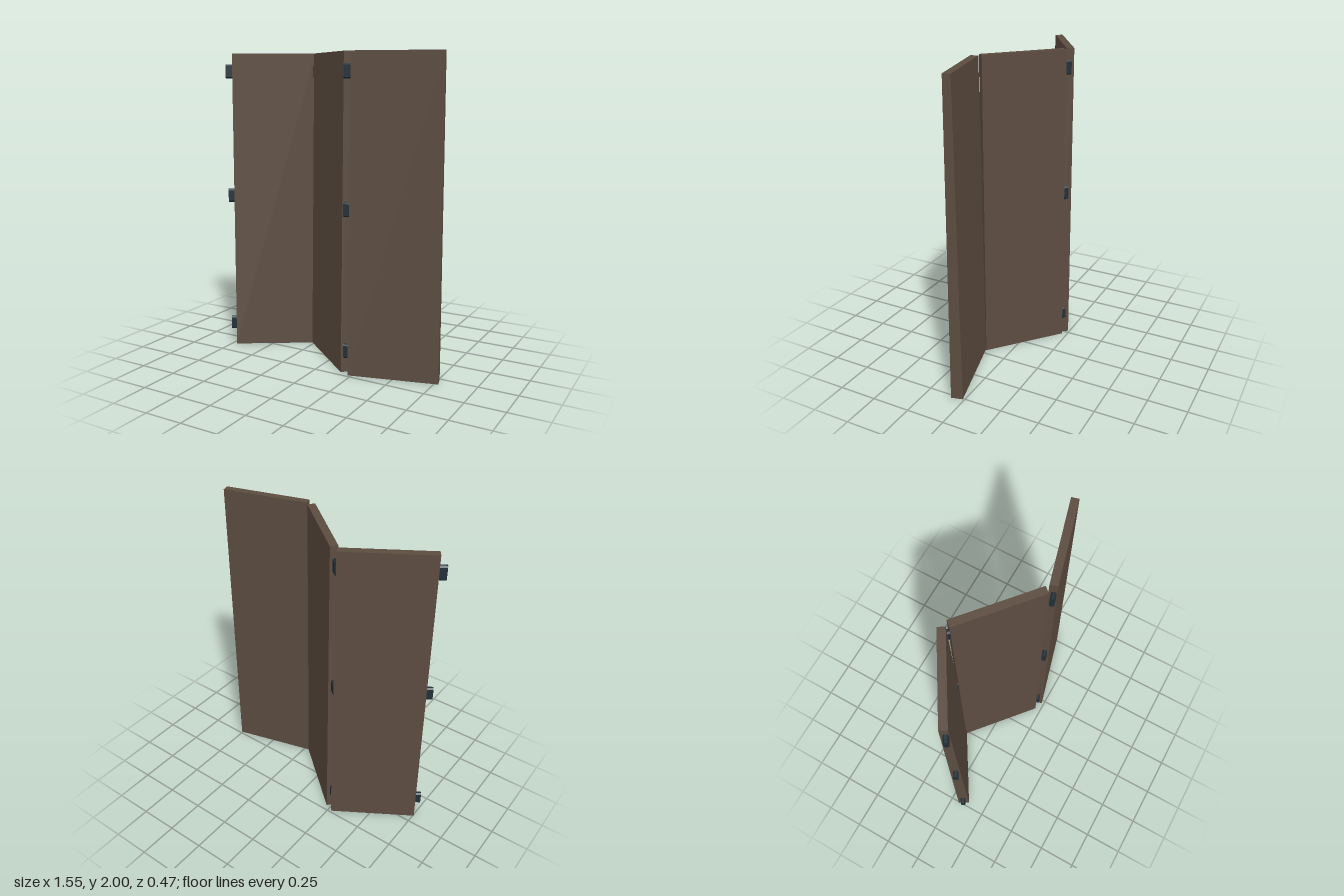
import * as THREE from 'three';

const WIDTH = 0.57, HEIGHT = 2, THICK = 0.075;

// Board with its back left bottom corner at the origin, narrowing towards the top
function boardGeometry() {
  const g = new THREE.BoxGeometry(WIDTH, HEIGHT, THICK);
  g.translate(WIDTH / 2, HEIGHT / 2, THICK / 2);
  const p = g.attributes.position;
  for (let i = 0; i < p.count; i++) {
    if (p.getY(i) < 1) continue;
    p.setX(i, p.getX(i) > 0.1 ? WIDTH - 0.01 : 0.01);
    p.setZ(i, p.getZ(i) > 0.03 ? THICK - 0.02 : 0.007);
  }
  g.computeVertexNormals();
  return g;
}

// Upright block with chamfered corners, pushed out sideways from the board end
function hingeGeometry() {
  const w = 0.015, h = 0.045, c = 0.009;
  const s = new THREE.Shape([
    [-w + c, -h], [w - c, -h], [w, -h + c], [w, h - c],
    [w - c, h], [-w + c, h], [-w, h - c], [-w, -h + c],
  ].map(([x, y]) => new THREE.Vector2(x, y)));
  const g = new THREE.ExtrudeGeometry(s, { depth: 0.065, bevelEnabled: false });
  g.rotateY(-Math.PI / 2);
  g.translate(0.03, 0, 0);
  return g;
}

export function createModel() {
  const wood = new THREE.MeshStandardMaterial({ color: 0x5c4c40 });
  wood.name = 'darkWood';
  const iron = new THREE.MeshStandardMaterial({ color: 0x22303a });
  iron.name = 'blackIron';

  const model = new THREE.Group();
  model.name = 'foldingScreen';
  const board = boardGeometry(), hinge = hingeGeometry();

  // Three zigzag panels: back left corner x, z and turn in degrees
  const panels = [
    ['rightPanel', -0.757, 0.06, 31.7],
    ['middlePanel', -0.22, -0.215, -40.3],
    ['leftPanel', 0.207, 0.162, 15.3],
  ];
  for (const [name, x, z, turn] of panels) {
    const panel = new THREE.Group();
    panel.name = name;
    panel.position.set(x, 0, z);
    panel.rotation.y = THREE.MathUtils.degToRad(turn);

    const body = new THREE.Mesh(board, wood);
    body.name = 'board';
    panel.add(body);

    // Three hinges along one end of each board
    for (const y of [0.147, 1.052, 1.883]) {
      const m = new THREE.Mesh(hinge, iron);
      m.name = 'hinge';
      m.position.set(0, y, THICK / 2);
      panel.add(m);
    }
    model.add(panel);
  }
  return model;
}
